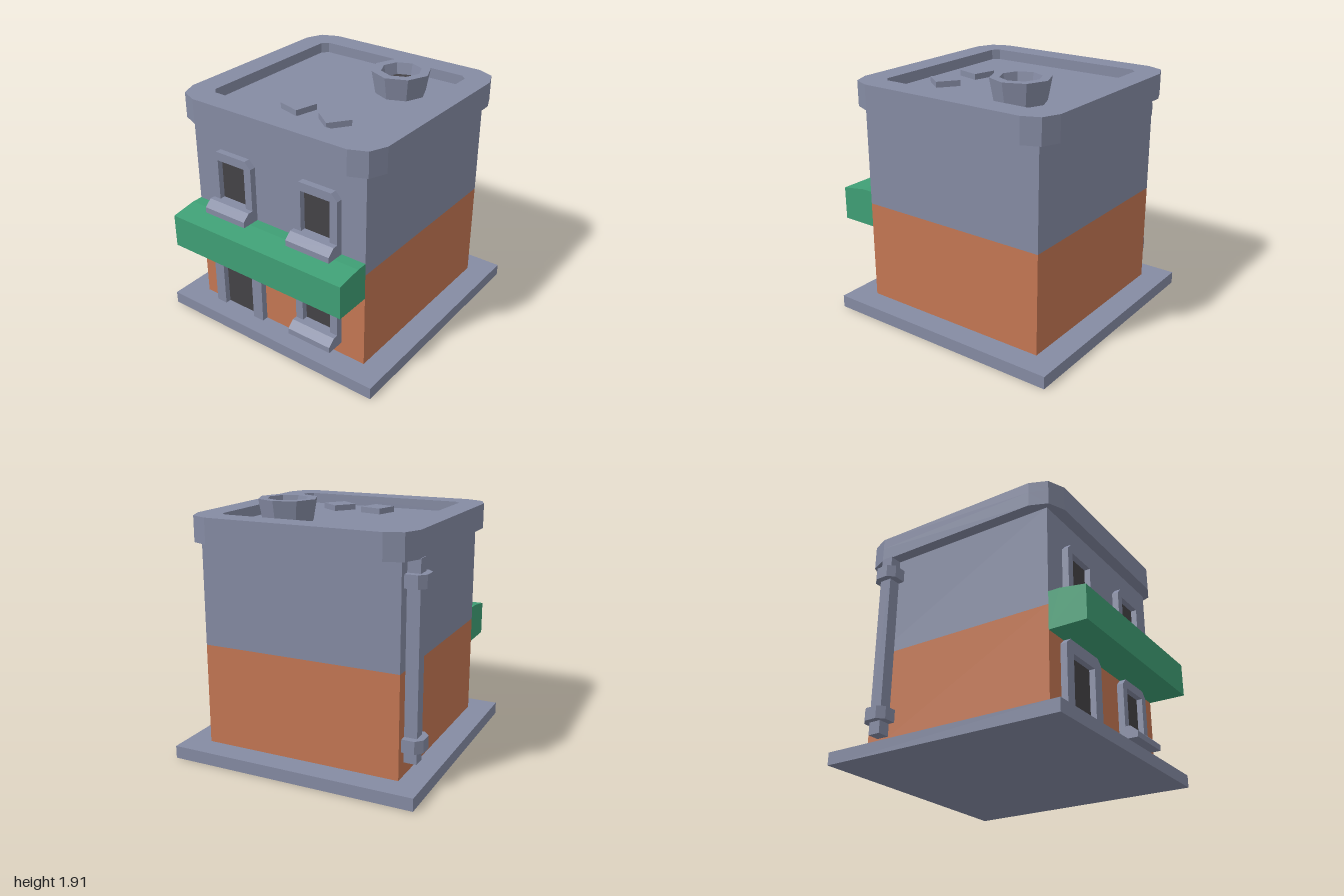
import * as THREE from 'three';

export function createModel() {
  const model = new THREE.Group();
  const mat = (name, color) => {
    const m = new THREE.MeshStandardMaterial({ color });
    m.name = name;
    return m;
  };
  const stone = mat('greyStone', 0x858ba3);
  const brick = mat('orangeBrick', 0xc47753);
  const green = mat('awningGreen', 0x3f9f75);
  const dark = mat('darkOpening', 0x444246);

  const add = (name, geometry, material, parent = model) => {
    const mesh = new THREE.Mesh(geometry, material);
    mesh.name = name;
    parent.add(mesh);
    return mesh;
  };
  // Box given by its minimum and maximum corners
  const box = (x0, x1, y0, y1, z0, z1) =>
    new THREE.BoxGeometry(x1 - x0, y1 - y0, z1 - z0)
      .translate((x0 + x1) / 2, (y0 + y1) / 2, (z0 + z1) / 2);
  const shapeOf = (pts) => new THREE.Shape(pts.map(([x, y]) => new THREE.Vector2(x, y)));
  const extrude = (shape, depth) =>
    new THREE.ExtrudeGeometry(shape, { depth, bevelEnabled: false });
  // Plan outline in (x, -z), raised from y0 to y1
  const extrudeUp = (shape, y0, y1) =>
    extrude(shape, y1 - y0).rotateX(-Math.PI / 2).translate(0, y0, 0);
  // Side profile in (z, y), swept from x0 to x1
  const extrudeAcross = (pts, x0, x1) =>
    extrude(shapeOf(pts), x1 - x0).rotateY(-Math.PI / 2).translate(x1, 0, 0);

  // Ground slab and two storeys
  add('baseSlab', box(-0.95, 0.95, 0, 0.095, -1, 0.9), stone);
  add('lowerStorey', box(-0.765, 0.765, 0.095, 0.86, -0.81, 0.715), brick);
  add('upperStorey', box(-0.765, 0.765, 0.86, 1.63, -0.81, 0.715), stone);

  // Roof: slab with a raised parapet round a sunken floor
  const roof = new THREE.Group();
  roof.name = 'roof';
  roof.position.z = -0.05;
  model.add(roof);
  const roofFloor = 1.735;
  const roundedSquare = (h, cut, mid) => {
    const pts = [];
    for (let i = 0; i < 4; i++) {
      const c = Math.round(Math.cos(i * Math.PI / 2)), s = Math.round(Math.sin(i * Math.PI / 2));
      const corner = [[h, h - cut], [h - mid, h - mid], [h - cut, h]];
      if (!mid) corner.splice(1, 1);
      for (const [x, y] of corner) pts.push([x * c - y * s, x * s + y * c]);
    }
    return pts;
  };
  const rim = shapeOf(roundedSquare(0.855, 0.185, 0.055));
  add('roofSlab', extrudeUp(rim, 1.625, roofFloor), stone, roof);
  const parapet = rim.clone();
  parapet.holes.push(shapeOf(roundedSquare(0.67, 0.045, 0)));
  add('parapet', extrudeUp(parapet, roofFloor, 1.815), stone, roof);

  // Loose tiles on the roof
  for (const [x, z, turn] of [[-0.08, 0.35, -0.25], [0.263, 0.38, -0.63]]) {
    const tile = add('roofTile', new THREE.BoxGeometry(0.183, 0.045, 0.183), stone);
    tile.position.set(x, roofFloor + 0.022, z);
    tile.rotation.y = turn;
  }

  // Eight-sided flaring vent with a dark mouth
  const ventProfile = [[0.19, roofFloor], [0.222, 1.908], [0.152, 1.908], [0.135, 1.82]]
    .map(([r, y]) => new THREE.Vector2(r, y));
  const ventGeometry = new THREE.LatheGeometry(ventProfile, 8).toNonIndexed();
  ventGeometry.computeVertexNormals();
  add('roofVent', ventGeometry, stone).position.set(0.32, 0, -0.35);
  add('ventMouth', new THREE.CircleGeometry(0.14, 8).rotateX(-Math.PI / 2), dark)
    .position.set(0.32, 1.822, -0.35);

  // Awning
  add('awning', extrudeAcross(
    [[0.715, 0.67], [1, 0.67], [1, 0.925], [0.8, 0.955], [0.715, 0.955]], -0.765, 0.765), green);

  // Frame with clipped upper corners, opening cut through
  const frame = (name, x0, x1, y0, y1, hole, parent) => {
    const c = 0.05;
    const s = shapeOf([[x0, y0], [x1, y0], [x1, y1 - c], [x1 - c, y1], [x0 + c, y1], [x0, y1 - c]]);
    const [a, b, d, e] = hole;
    s.holes.push(shapeOf([[a, d], [a, e], [b, e], [b, d]]));
    add(name, extrude(s, 0.05).translate(0, 0, 0.715), stone, parent);
    add(name + 'Opening', box(a, b, d, e, 0.714, 0.72), dark, parent);
  };

  // Windows with sloping sills
  for (const [x, y] of [[-0.382, 0.955], [0.378, 0.955], [0.378, 0.192]]) {
    const win = new THREE.Group();
    win.name = 'window';
    win.position.set(x, y, 0);
    model.add(win);
    frame('windowFrame', -0.188, 0.188, 0, 0.478, [-0.125, 0.125, 0.09, 0.412], win);
    add('windowSill', extrudeAcross(
      [[0.715, 0], [0.86, 0], [0.86, 0.045], [0.805, 0.095], [0.715, 0.095]], -0.188, 0.188), stone, win);
  }

  // Door: frame open at the foot
  const door = shapeOf([
    [-0.62, 0.095], [-0.53, 0.095], [-0.53, 0.575], [-0.24, 0.575], [-0.24, 0.095],
    [-0.145, 0.095], [-0.145, 0.625], [-0.195, 0.672], [-0.57, 0.672], [-0.62, 0.625]]);
  add('doorFrame', extrude(door, 0.05).translate(0, 0, 0.715), stone);
  add('doorOpening', box(-0.53, -0.24, 0.095, 0.575, 0.714, 0.72), dark);

  // Drainpipe and its brackets
  add('drainpipe', box(-0.86, -0.76, 0.195, 1.63, -0.718, -0.622), stone);
  const bracket = shapeOf([
    [-0.76, 0.572], [-0.76, 0.768], [-0.86, 0.768], [-0.907, 0.718], [-0.907, 0.622], [-0.86, 0.572]].reverse());
  for (const y of [0.29, 1.435]) add('pipeBracket', extrudeUp(bracket, y, y + 0.095), stone);

  return model;
}
